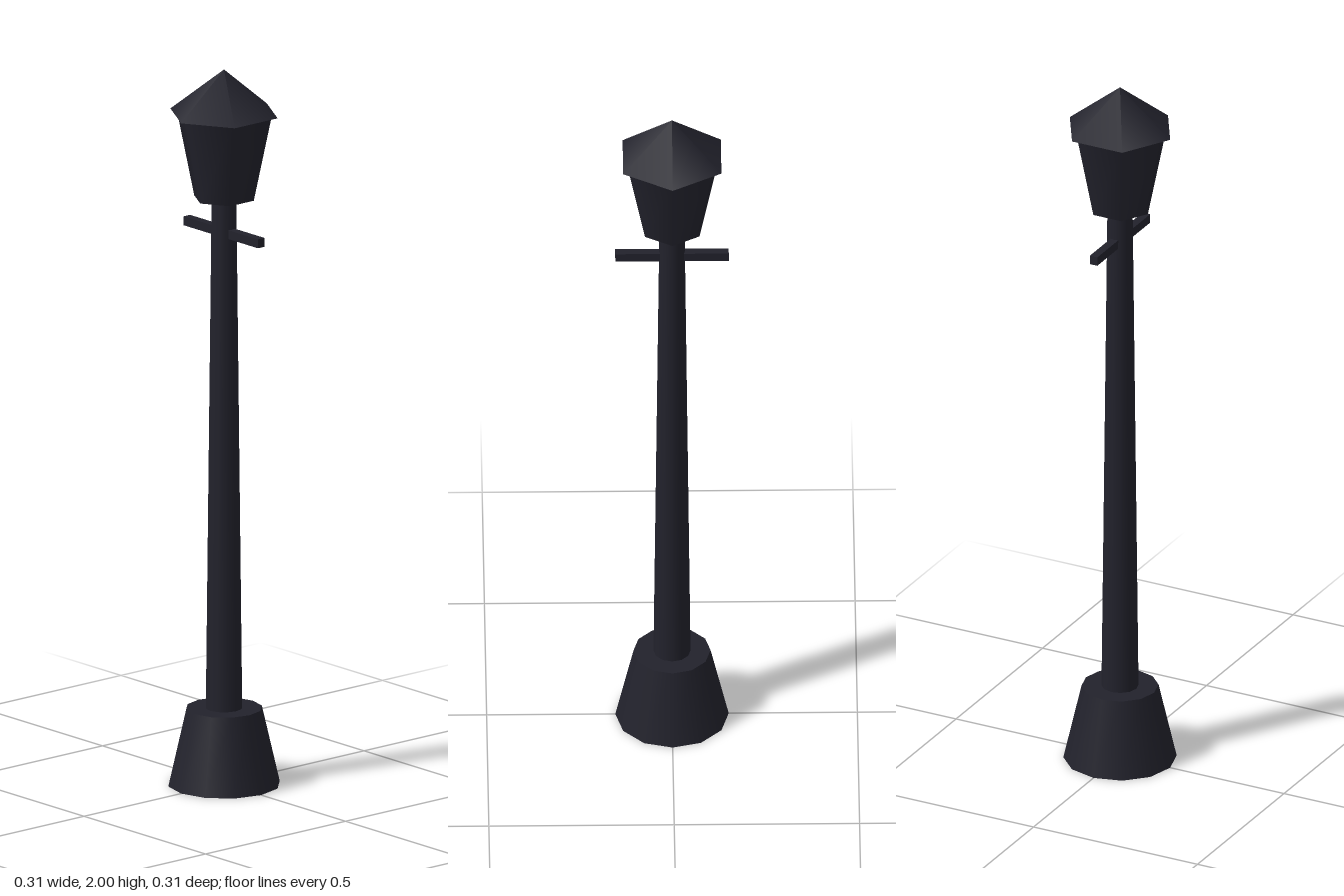
import * as THREE from 'three';

export function createModel() {
  const group = new THREE.Group();
  group.name = 'streetLamp';
  const iron = new THREE.MeshStandardMaterial({ color: 0x22222c });
  iron.name = 'darkIron';

  const add = (name, geometry, y) => {
    const mesh = new THREE.Mesh(geometry, iron);
    mesh.name = name;
    mesh.position.y = y;
    group.add(mesh);
  };

  // Tapered section standing between two heights
  const taper = (name, rTop, rBottom, y0, y1, sides) =>
    add(name, new THREE.CylinderGeometry(rTop, rBottom, y1 - y0, sides), (y0 + y1) / 2);

  taper('base', 0.104, 0.153, 0, 0.213, 12);
  taper('pole', 0.034, 0.05, 0.213, 1.64, 12);

  // Ladder bar below the lantern
  add('crossbar', new THREE.BoxGeometry(0.306, 0.025, 0.023), 1.546);

  // Six-sided lantern with an overhanging pointed roof
  taper('lantern', 0.136, 0.085, 1.64, 1.88, 6);
  add('roof', new THREE.ConeGeometry(0.153, 0.123, 6), 1.9385);

  return group;
}
